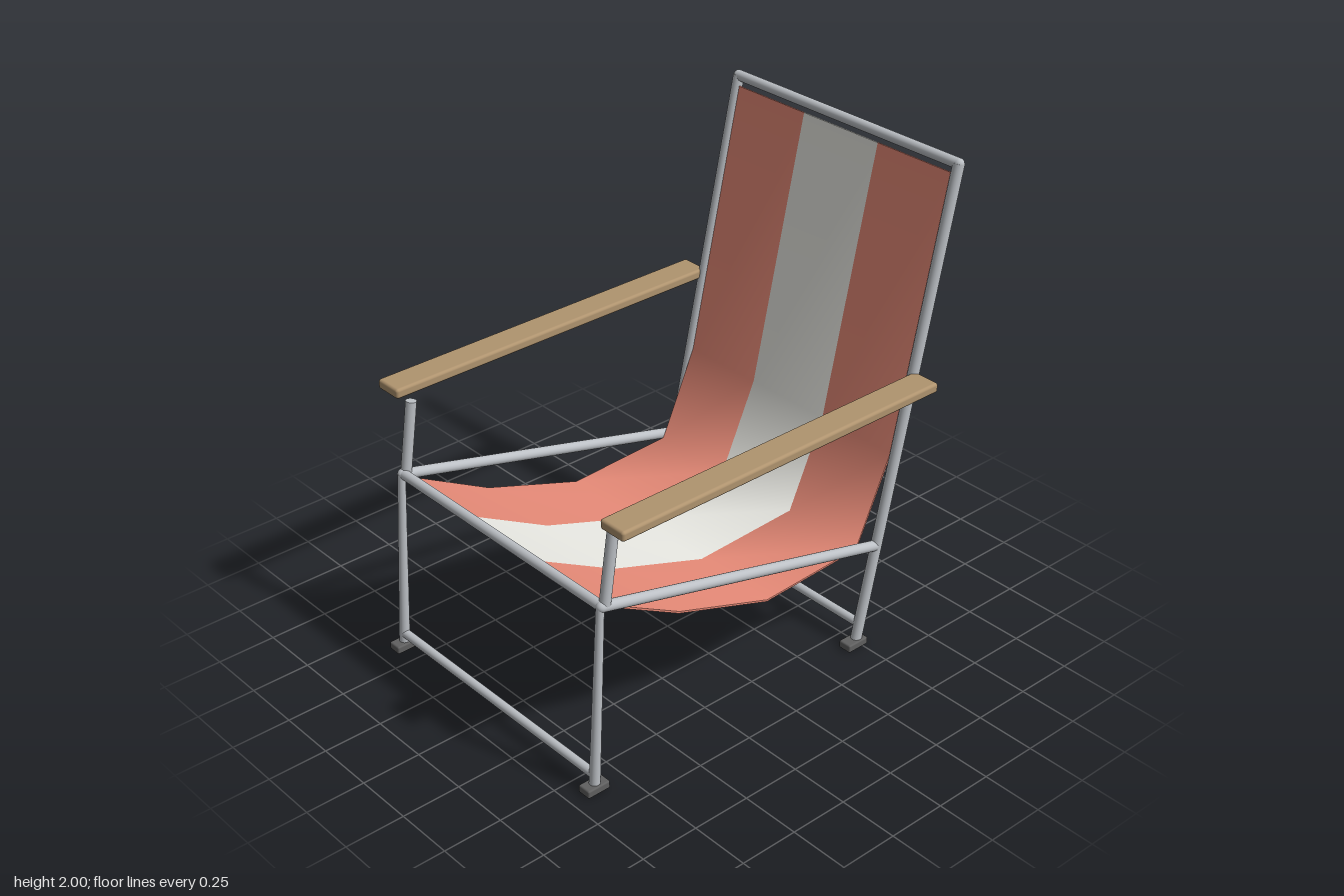
import * as THREE from 'three';
import { toCreasedNormals } from 'three/addons/utils/BufferGeometryUtils.js';
import { RoundedBoxGeometry } from 'three/addons/geometries/RoundedBoxGeometry.js';

const material = (color) => new THREE.MeshStandardMaterial({ color });
const metal = material(0xbcc0c5);
const wood = material(0xb0946f);
const rubber = material(0x606060);
const coral = material(0xe88b78);
const white = material(0xebebe5);

const SIDE = 0.595; // x of the side frames
const R = 0.022; // tube radius

export function createModel() {
  const model = new THREE.Group();

  const add = (name, geometry, mat, x = 0, y = 0, z = 0) => {
    const mesh = new THREE.Mesh(geometry, mat);
    mesh.name = name;
    mesh.position.set(x, y, z);
    model.add(mesh);
    return mesh;
  };

  // Straight tube between two points, optionally tapered
  const tube = (name, from, to, r0 = R, r1 = r0) => {
    const a = new THREE.Vector3(...from);
    const b = new THREE.Vector3(...to);
    const dir = b.clone().sub(a);
    const mesh = add(name, new THREE.CylinderGeometry(r1, r0, dir.length(), 20), metal);
    mesh.position.copy(a).add(b).multiplyScalar(0.5);
    mesh.quaternion.setFromUnitVectors(new THREE.Vector3(0, 1, 0), dir.normalize());
  };

  const crossBar = (name, y, z, r) => tube(name, [-SIDE, y, z], [SIDE, y, z], r);

  // Side frames, armrests and feet, mirrored
  for (const [side, s] of [['left', 1], ['right', -1]]) {
    const x = s * SIDE;
    tube(side + 'BackPost', [x, 0.025, -0.485], [x, 1.98, -0.912], 0.023);
    tube(side + 'FrontLeg', [x, 0.025, 0.885], [x, 0.8, 0.844], R, 0.016);
    tube(side + 'SeatRail', [x, 0.797, 0.838], [x, 0.44, -0.565]);
    tube(side + 'ArmSupport', [x, 0.8, 0.822], [x, 1.1, 0.778]);

    const ball = new THREE.SphereGeometry(R, 20, 14);
    add(side + 'TopJoint', ball, metal, x, 1.978, -0.912);
    add(side + 'FrontJoint', ball, metal, x, 0.797, 0.838);

    add(side + 'Armrest', new RoundedBoxGeometry(0.125, 0.042, 1.58, 3, 0.012), wood, s * 0.6575, 1.145, 0.05);
    for (const [end, z] of [['Front', 0.886], ['Rear', -0.472]]) {
      add(side + end + 'Foot', new RoundedBoxGeometry(0.06, 0.034, 0.104, 2, 0.007), rubber, x, 0.017, z);
    }
  }

  // Cross bars
  crossBar('topBar', 1.978, -0.912, R);
  crossBar('seatFrontBar', 0.797, 0.836, 0.021);
  crossBar('frontStretcher', 0.07, 0.883, 0.019);
  crossBar('rearStretcher', 0.096, -0.5, 0.019);

  // Sling cross-section as (z, y), from the front bar to the top of the back
  const path = [
    [0.825, 0.79], [0.78, 0.76], [0.45, 0.58], [0, 0.425],
    [-0.485, 0.447], [-0.655, 0.82], [-0.898, 1.94],
  ].map(([z, y]) => new THREE.Vector2(z, y));
  const offset = (sign) => path.map((p, i) => {
    const t = path[Math.min(i + 1, path.length - 1)].clone()
      .sub(path[Math.max(i - 1, 0)]).normalize();
    return new THREE.Vector2(p.x - t.y * 0.004 * sign, p.y + t.x * 0.004 * sign);
  });
  const section = new THREE.Shape([...offset(1), ...offset(-1).reverse()]);

  // Three fabric stripes
  const stripe = (name, x0, x1, mat) => {
    let geometry = new THREE.ExtrudeGeometry(section, { depth: x1 - x0, bevelEnabled: false });
    geometry.rotateY(-Math.PI / 2).translate(x1, 0, 0);
    geometry = toCreasedNormals(geometry, 1.3);
    add(name, geometry, mat);
  };
  stripe('rightStripe', -0.573, -0.2, coral);
  stripe('middleStripe', -0.2, 0.2, white);
  stripe('leftStripe', 0.2, 0.573, coral);

  return model;
}
